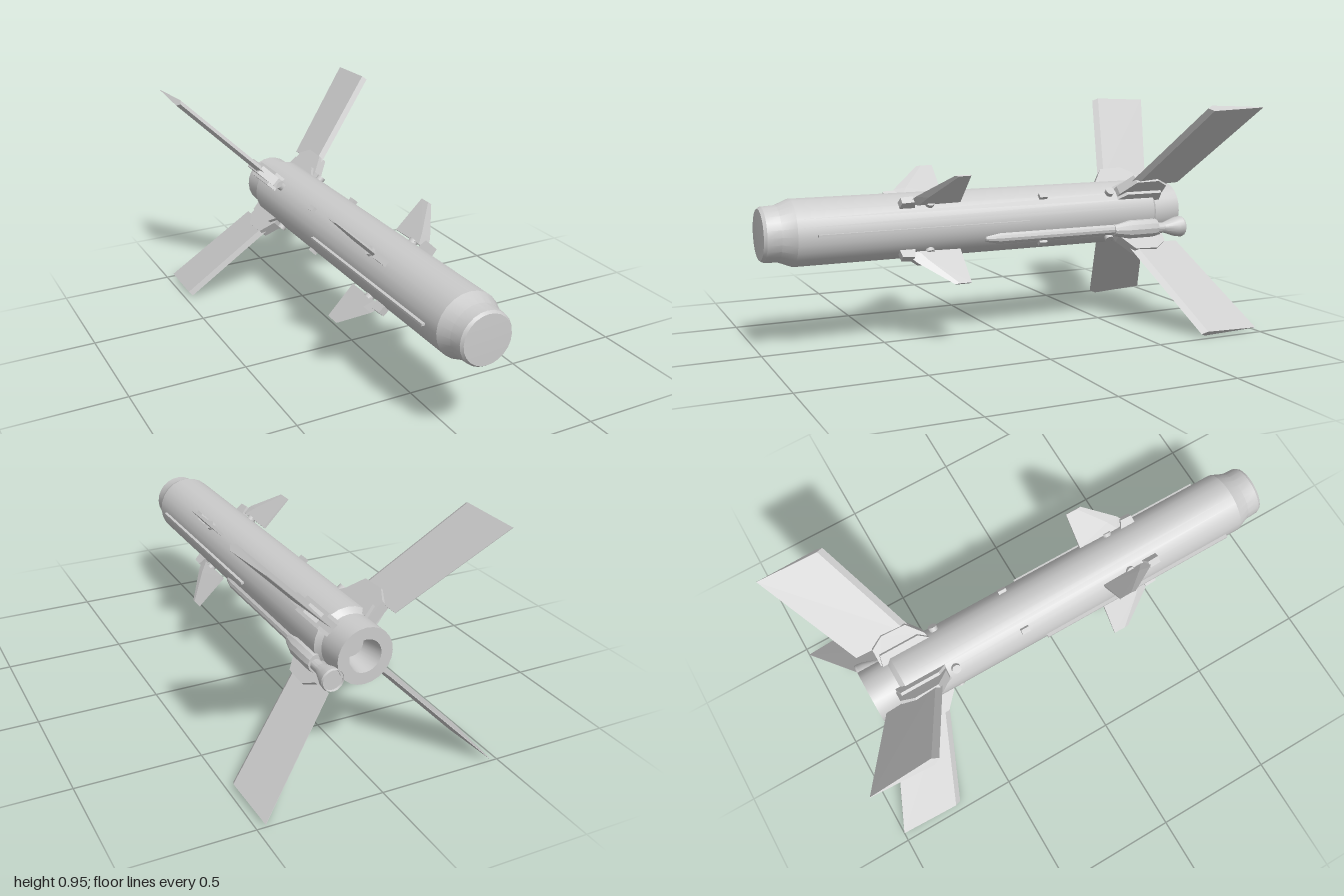
import * as THREE from 'three';
import { toCreasedNormals } from 'three/addons/utils/BufferGeometryUtils.js';
import { ConvexGeometry } from 'three/addons/geometries/ConvexGeometry.js';

const AXIS_Y = 0.48;
const BODY_R = 0.133;

export function createModel() {
  const model = new THREE.Group();
  const material = new THREE.MeshStandardMaterial({ color: 0xcccccc });

  const add = (parent, name, geometry, x = 0, y = 0, z = 0) => {
    const mesh = new THREE.Mesh(geometry, material);
    mesh.name = name;
    mesh.position.set(x, y, z);
    parent.add(mesh);
    return mesh;
  };

  // Turned part along z; profile is [radius, z] from rear to front
  const turned = (profile, sides) => {
    const g = new THREE.LatheGeometry(profile.map(([r, z]) => new THREE.Vector2(r, z)), sides);
    g.rotateX(Math.PI / 2);
    return toCreasedNormals(g, sides > 20 ? 0.33 : 0.45);
  };

  // Flat plate in the radius/z plane, centred on its thickness
  const plate = (outline, thickness) => {
    const shape = new THREE.Shape(outline.map(([r, z]) => new THREE.Vector2(r, z)));
    const g = new THREE.ExtrudeGeometry(shape, { depth: thickness, bevelEnabled: false });
    g.translate(0, 0, -thickness / 2);
    g.rotateX(Math.PI / 2);
    return g;
  };

  // Fin with a sharp leading edge, a thick line behind it and a thin trailing edge
  const fin = (sections) => {
    const points = [];
    for (const { r, lead, trail, thick, bevel, rear = 0.002 } of sections) {
      points.push(new THREE.Vector3(r, 0, lead));
      for (const s of [-0.5, 0.5]) {
        points.push(new THREE.Vector3(r, s * thick, lead - bevel));
        points.push(new THREE.Vector3(r, s * rear, trail));
      }
    }
    return new ConvexGeometry(points);
  };

  const missile = new THREE.Group();
  missile.name = 'missile';
  missile.position.y = AXIS_Y;
  model.add(missile);

  // Body with seeker nose, tail step and hollow exhaust
  add(missile, 'body', turned([
    [0, -0.74], [0.05, -0.74], [0.066, -0.84], [0.113, -0.84], [0.113, -0.72],
    [BODY_R, -0.7], [BODY_R, 0.875], [0.111, 0.93], [0.108, 0.985], [0.1, 0.997], [0, 1],
  ], 24));

  // Parts repeated on the four diagonals
  const tailFin = fin([
    { r: 0.185, lead: -0.565, trail: -0.815, thick: 0.03, bevel: 0.025 },
    { r: 0.66, lead: -0.725, trail: -1, thick: 0.03, bevel: 0.025 },
  ]);
  const tailBracket = plate([
    [0.11, -0.52], [0.15, -0.53], [0.222, -0.585], [0.226, -0.69], [0.19, -0.745], [0.11, -0.745],
  ], 0.042);
  const bracketSpine = plate([[0.11, -0.5], [0.16, -0.56], [0.16, -0.73], [0.11, -0.74]], 0.07);
  const frontFin = fin([
    { r: 0.14, lead: 0.435, trail: 0.205, thick: 0.02, bevel: 0.05, rear: 0.012 },
    { r: 0.185, lead: 0.405, trail: 0.205, thick: 0.018, bevel: 0.05, rear: 0.01 },
    { r: 0.303, lead: 0.275, trail: 0.205, thick: 0.007, bevel: 0.02, rear: 0.005 },
  ]);
  const frontFinLug = plate([[0.12, 0.465], [0.165, 0.46], [0.168, 0.41], [0.12, 0.395]], 0.03);
  const pivot = new THREE.CylinderGeometry(0.02, 0.02, 0.03, 10).rotateZ(Math.PI / 2);
  const boss = new THREE.CylinderGeometry(0.019, 0.019, 0.035, 12).rotateZ(Math.PI / 2);

  for (let i = 0; i < 4; i++) {
    const quarter = new THREE.Group();
    quarter.name = 'finQuarter' + (i + 1);
    quarter.rotation.z = Math.PI / 4 + i * Math.PI / 2;
    missile.add(quarter);
    add(quarter, 'tailFin', tailFin);
    add(quarter, 'tailFinBracket', tailBracket);
    add(quarter, 'tailFinBracketBase', bracketSpine);
    add(quarter, 'frontFin', frontFin);
    add(quarter, 'frontFinLug', frontFinLug);
    add(quarter, 'frontFinPivot', pivot, 0.131, 0, 0.335);
    add(quarter, 'roundBoss', boss, 0.132, 0, -0.49);
    add(quarter, 'squareLug', new THREE.BoxGeometry(0.03, 0.022, 0.036), 0.131, 0, -0.17);
  }

  // Thin strakes along both sides
  for (const side of [-1, 1]) {
    add(missile, 'sideStrake', new THREE.BoxGeometry(0.03, 0.009, 0.89), side * 0.131, 0.002, 0.355);
  }

  // Conduit, housing and small exhaust on one lower side
  const pod = new THREE.Group();
  pod.name = 'sidePod';
  pod.rotation.z = Math.atan2(-0.066, 0.125);
  missile.add(pod);
  add(pod, 'conduit', turned([[0, -0.6], [0.024, -0.6], [0.024, 0.04], [0.012, 0.1], [0, 0.105]], 12), 0.13);
  add(pod, 'housing', turned([
    [0, -0.71], [0.038, -0.71], [0.042, -0.69], [0.042, -0.57], [0.024, -0.5], [0, -0.5],
  ], 12), 0.138);
  add(pod, 'smallExhaust', turned([
    [0, -0.835], [0.04, -0.835], [0.043, -0.843], [0.046, -0.835], [0.043, -0.81], [0.023, -0.75], [0.023, -0.69], [0, -0.69],
  ], 16), 0.145);

  return model;
}
